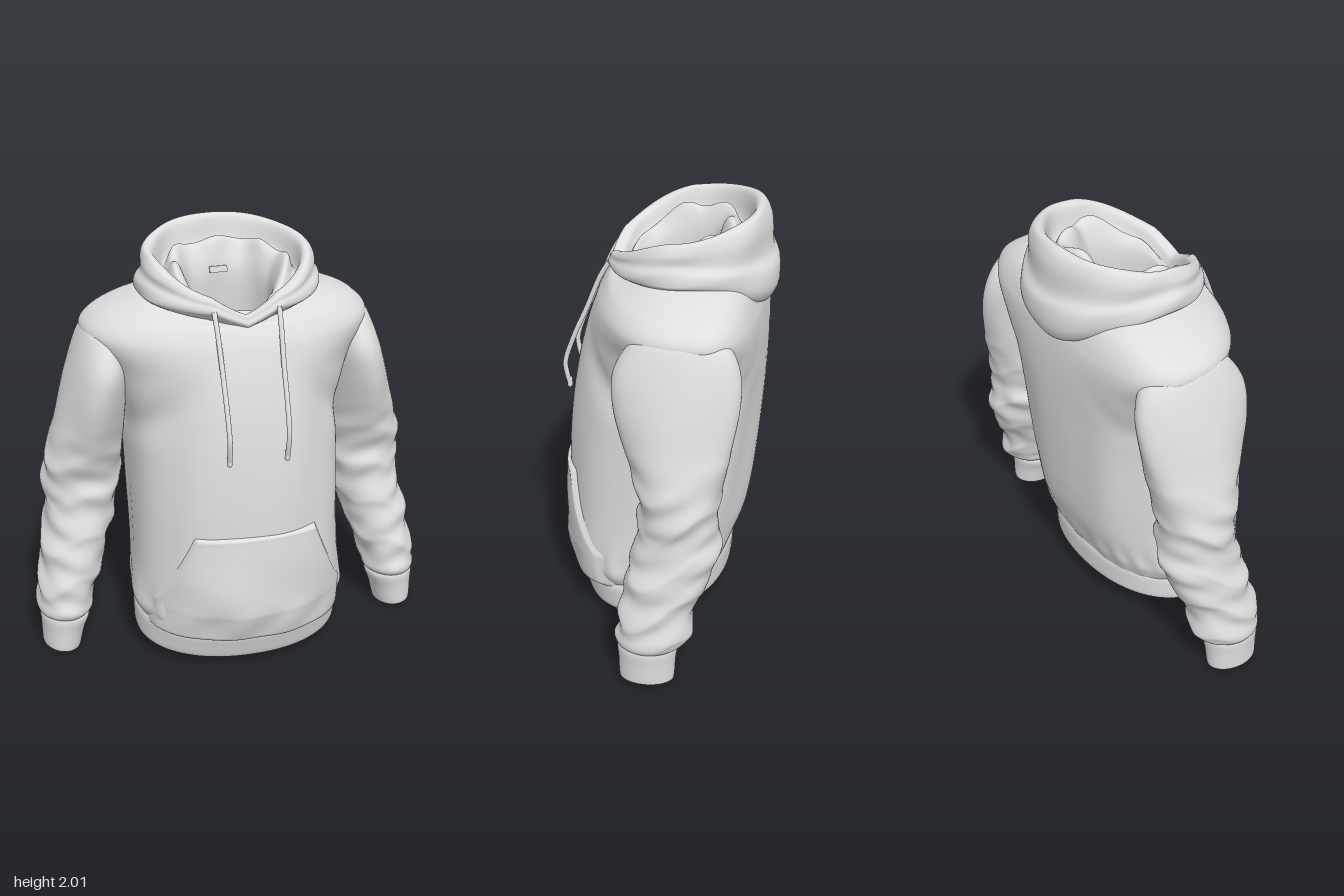
import * as THREE from 'three';

const fabric = new THREE.MeshStandardMaterial({ color: 0xdedede, side: THREE.DoubleSide });
fabric.name = 'grey fabric';

const { sin, cos, abs, max, min, pow, sign, PI, exp } = Math;
const bump = (v, c, w) => exp(-(((v - c) / w) ** 2));
const ramp = (v, lo, hi) => max(0, min(1, (v - lo) / (hi - lo)));

// Smoothly resample a table of rows at t in 0..1
function sample(rows, t) {
  const f = min(t, 0.99999) * (rows.length - 1), i = Math.floor(f), u = f - i;
  const at = (k) => rows[max(0, min(rows.length - 1, k))];
  const [p, q, r, s] = [at(i - 1), at(i), at(i + 1), at(i + 2)];
  return q.map((b, k) => b + 0.5 * u * (r[k] - p[k] +
    u * (2 * p[k] - 5 * b + 4 * r[k] - s[k] + u * (3 * (b - r[k]) + s[k] - p[k]))));
}

// Grid surface; closed grids wrap round in i
function grid(n, m, closed, flip, point) {
  const pos = [], idx = [], cols = closed ? n : n + 1;
  for (let j = 0; j <= m; j++) for (let i = 0; i < cols; i++) pos.push(...point(i / n, j / m));
  for (let j = 0; j < m; j++) for (let i = 0; i < n; i++) {
    const a = j * cols + i, b = j * cols + ((i + 1) % cols), c = a + cols, d = b + cols;
    if (flip) idx.push(a, b, c, b, d, c);
    else idx.push(a, c, b, b, c, d);
  }
  const g = new THREE.BufferGeometry();
  g.setAttribute('position', new THREE.Float32BufferAttribute(pos, 3));
  g.setIndex(idx);
  g.computeVertexNormals();
  return g;
}

// Rounded section: half width w, front z, back z, widest at zc, squareness of front and back
const section = (a, w, zf, zb, zc, nf, nb) => {
  const c = cos(a), s = sin(a), e = 2 / (s > 0 ? nf : nb);
  return [w * sign(c) * pow(abs(c), e), zc + (s > 0 ? zf - zc : zc - zb) * sign(s) * pow(abs(s), e)];
};

// Torso rows: y, half width, front z, back z, widest z, front drop, front squareness
const torsoRows = [
  [0.16, 0.485, 0.42, -0.30, 0.05, 0, 2.2], [0.23, 0.515, 0.455, -0.325, 0.05, 0, 2.3], [0.32, 0.51, 0.47, -0.35, 0.04, 0, 2.35],
  [0.5, 0.50, 0.475, -0.39, 0.02, 0, 2.35], [0.8, 0.50, 0.47, -0.42, -0.02, 0, 2.3], [1.05, 0.505, 0.45, -0.44, -0.05, 0, 2.2],
  [1.25, 0.53, 0.42, -0.45, -0.1, 0, 2.1], [1.42, 0.59, 0.38, -0.45, -0.12, 0, 2], [1.54, 0.67, 0.34, -0.44, -0.13, 0, 2],
  [1.6, 0.68, 0.315, -0.425, -0.13, 0, 2], [1.655, 0.63, 0.28, -0.405, -0.13, 0, 2], [1.7, 0.54, 0.262, -0.38, -0.13, -0.03, 2],
  [1.74, 0.42, 0.24, -0.34, -0.11, -0.07, 2], [1.755, 0.36, 0.23, -0.32, -0.1, -0.085, 2],
];
const hemTilt = (y, z) => (0.42 - z) * 0.14 * ramp(-y, -0.7, -0.2);

function torsoPoint(u, v) {
  const a = u * 2 * PI, [y, w, zf, zb, zc, drop, nf] = sample(torsoRows, v);
  let [x, z] = section(a, w, zf, zb, zc, nf, 2.5 + 0.6 * ramp(y, 1.2, 1.5));
  const s = sin(a), mid = bump(y, 0.9, 0.55);
  // soft vertical folds, gathers over the hem, and drag lines from the armholes
  const k = 1 + 0.016 * mid * sin(9 * a + 2.5 * y) * (s < 0 ? 1 : 0.5)
    + 0.014 * bump(y, 0.27, 0.09) * sin(17 * a + 3 * sin(3 * a))
    - 0.04 * bump(y + abs(x) * 0.9, 1.62, 0.09) * bump(abs(x), 0.42, 0.14) * (s > 0 ? 1 : 0.4);
  x *= k;
  z = zc + (z - zc) * k;
  return [x, y + hemTilt(y, z) + (s > 0 ? drop * s * s : 0), z];
}

// Hem band rows: y, half width, front z, back z
const hemRows = [[0.2, 0.46, 0.38, -0.27], [0.1, 0.465, 0.37, -0.27], [0.04, 0.47, 0.37, -0.275], [0.025, 0.485, 0.385, -0.295],
  [0.04, 0.5, 0.4, -0.305], [0.1, 0.503, 0.42, -0.31], [0.15, 0.503, 0.435, -0.312], [0.185, 0.49, 0.435, -0.305]];
const hemPoint = (u, v) => {
  const [y, w, zf, zb] = sample(hemRows, v);
  const [x, z] = section(u * 2 * PI, w, zf, zb, 0.05, 2.15, 2.2);
  return [x, y + (0.42 - z) * 0.14, z];
};

// Sleeve rows: y, inner x, outer x, front z, back z
const sleeveRows = [
  [0.17, 0.74, 0.94, 0.09, -0.15], [0.2, 0.705, 0.965, 0.115, -0.2], [0.25, 0.695, 0.965, 0.12, -0.23],
  [0.35, 0.665, 0.95, 0.1, -0.24], [0.47, 0.62, 0.935, 0.085, -0.28], [0.6, 0.58, 0.91, 0.06, -0.34],
  [0.75, 0.54, 0.89, 0.03, -0.335], [0.88, 0.52, 0.895, 0.03, -0.335], [1.0, 0.51, 0.87, 0.06, -0.36],
  [1.15, 0.5, 0.825, 0.11, -0.385], [1.3, 0.49, 0.785, 0.15, -0.405], [1.43, 0.48, 0.745, 0.155, -0.405],
  [1.54, 0.48, 0.705, 0.1, -0.37], [1.6, 0.5, 0.672, 0.03, -0.3], [1.63, 0.56, 0.62, -0.1, -0.17],
];
function sleevePoint(u, v) {
  const a = u * 2 * PI, [y, xi, xo, zf, zb] = sample(sleeveRows, v);
  const amp = ramp(-y, -1.15, -0.8) * ramp(y, 0.17, 0.25);
  // slanting creases that bunch toward the cuff
  const k = 1 + amp * (0.045 * (1 - 2 * abs(sin(y * 15 + 1.4 * sin(a + 0.6) + 0.6 * sin(3 * a))))
    + 0.04 * sin(y * 33 - 1.7 * cos(a) + 2 * sin(2 * a + 1)) * sin(y * 9 + 2 * a)
    + 0.025 * sin(y * 47 + 3 * sin(a - 1)) * sin(2 * a + y * 5))
    + 0.02 * bump(y, 1.15, 0.25) * sin(5 * a + 6 * y);
  return [(xi + xo) / 2 + k * (xo - xi) / 2 * cos(a), y, (zf + zb) / 2 + k * (zf - zb) / 2 * sin(a)];
}

// Cuff rows: y, centre x, x radius, z radius; starts at the inner end
const cuffRows = [[0.15, 0.845, 0.0005, 0.0005], [0.14, 0.845, 0.085, 0.1], [0.06, 0.857, 0.076, 0.107], [0.015, 0.86, 0.078, 0.112],
  [0.005, 0.86, 0.088, 0.122], [0.02, 0.859, 0.093, 0.127], [0.1, 0.85, 0.104, 0.131], [0.17, 0.838, 0.118, 0.138], [0.2, 0.835, 0.1, 0.12]];
const cuffPoint = (u, v) => {
  const a = u * 2 * PI, [y, x, rx, rz] = sample(cuffRows, v);
  return [x + rx * cos(a), y + 0.01 * cos(a), -0.03 + rz * sin(a)];
};

// Hood rows: half width, front z, back z, front y, side y, back y, notch depth; outside up, over the rim, down inside
const hoodRows = [
  [0.36, 0.22, -0.36, 1.68, 1.71, 1.6, 0.05], [0.42, 0.272, -0.45, 1.72, 1.745, 1.56, 0.06], [0.432, 0.282, -0.5, 1.735, 1.77, 1.63, 0.06],
  [0.427, 0.28, -0.5, 1.745, 1.81, 1.74, 0.06], [0.405, 0.275, -0.465, 1.755, 1.845, 1.81, 0.06], [0.402, 0.27, -0.455, 1.77, 1.89, 1.93, 0.06],
  [0.38, 0.255, -0.425, 1.775, 1.93, 1.995, 0.06], [0.345, 0.225, -0.385, 1.765, 1.92, 1.985, 0.06], [0.32, 0.21, -0.36, 1.73, 1.84, 1.89, 0.05],
  [0.3, 0.205, -0.335, 1.71, 1.82, 1.86, 0.04], [0.27, 0.2, -0.3, 1.71, 1.88, 1.91, 0.04], [0.23, 0.195, -0.26, 1.69, 1.85, 1.88, 0.03],
  [0.195, 0.19, -0.22, 1.66, 1.73, 1.76, 0.02], [0.2, 0.19, -0.23, 1.53, 1.53, 1.53, 0],
];
function hoodPoint(u, v) {
  const a = u * 2 * PI, s = sin(a), [w, zf, zb, yF, yS, yB, notch] = sample(hoodRows, v);
  const [x, z] = section(a, w, zf, zb, -0.08, 2, 2);
  // the pouch hangs at the back only, while the rim rises evenly
  const y = yS + (s > 0 ? (yF - yS) * s ** 1.6 : (yB - yS) * abs(s) ** (2.4 - 1.2 * ramp(v, 0.1, 0.4)));
  const inside = bump(v, 0.82, 0.1), k = 1 + inside * 0.07 * sin(5 * a + 0.8) + 0.008 * sin(7 * a + v * 20);
  return [x * k, y + inside * 0.015 * sin(7 * a) - (s > 0 ? notch * max(0, 1 - abs(x) / 0.15) : 0), z * (s > 0 ? 1 : k)];
}

// Shallow bowl closing the neck
const neckPoint = (u, v) => {
  const a = u * 2 * PI, r = 0.0005 + 0.215 * v;
  return [r * cos(a), 1.5 + 0.07 * v * v, -0.02 + r * 1.03 * sin(a)];
};

// Front pouch pocket: follows the torso front, edges tucked in
function pocketPoint(u, v) {
  const y = 0.17 + 0.56 * v, x0 = 2 * u - 1;
  const hw = 0.47 - 0.18 * ramp(y, 0.35, 0.73) ** 0.85;
  const x = x0 * hw, w = 0.505, zc = 0.04;
  const zBody = zc + ((y < 0.32 ? 0.45 + (y - 0.2) * 0.18 : 0.473) - zc) * pow(1 - (abs(x) / w) ** 2.35, 1 / 2.35);
  const edge = u < 0.001 || u > 0.999 || v < 0.001 || v > 0.999;
  const puff = 0.016 + 0.022 * (1 - x0 * x0) * sin(PI * min(1, v + 0.05))
    + 0.011 * sin(9 * x + 7 * y) * bump(v, 0.4, 0.3) + 0.007 * sin(24 * x - 10 * y) * bump(v, 0.15, 0.15);
  return [x, y - 0.01 + hemTilt(y, zBody) * 0.8, zBody + (edge ? -0.03 : puff)];
}

export function createModel() {
  const model = new THREE.Group();
  model.name = 'hoodedSweatshirt';
  const add = (name, geometry) => {
    const mesh = new THREE.Mesh(geometry, fabric);
    mesh.name = name;
    model.add(mesh);
    return mesh;
  };

  add('torso', grid(128, 110, true, false, torsoPoint));
  add('hemBand', grid(96, 28, true, false, hemPoint));
  add('hood', grid(128, 90, true, false, hoodPoint));
  add('neckLining', grid(48, 8, true, false, neckPoint));
  add('frontPocket', grid(64, 44, false, false, (u, v) => pocketPoint(1 - u, v)));

  for (const [side, s] of [['left', 1], ['right', -1]]) {
    const mirrored = (f) => (u, v) => { const [x, y, z] = f(u, v); return [x * s, y, z]; };
    add(side + 'Sleeve', grid(64, 130, true, s < 0, mirrored(sleevePoint)));
    add(side + 'Cuff', grid(48, 36, true, s < 0, mirrored(cuffPoint)));

    // Drawstring hanging from the hood edge, with a knotted tip
    const path = new THREE.CatmullRomCurve3([[0.15, 1.74, 0.255], [0.147, 1.66, 0.3], [0.142, 1.5, 0.365], [0.14, 1.35, 0.43],
      [0.138, 1.21, 0.475], [0.136, 1.15, 0.47], [0.135, 1.09, 0.455]].map(([x, y, z]) => new THREE.Vector3(x * s, y, z)));
    add(side + 'Drawstring', new THREE.TubeGeometry(path, 48, 0.012, 10));
    const tip = add(side + 'DrawstringTip', new THREE.CapsuleGeometry(0.013, 0.03, 4, 10));
    tip.position.set(0.135 * s, 1.105, 0.458);
  }

  // Blank tag inside the neck
  const tag = add('neckTag', new THREE.BoxGeometry(0.085, 0.03, 0.008));
  tag.position.set(-0.01, 1.785, -0.2);
  tag.rotation.x = -0.2;
  return model;
}
